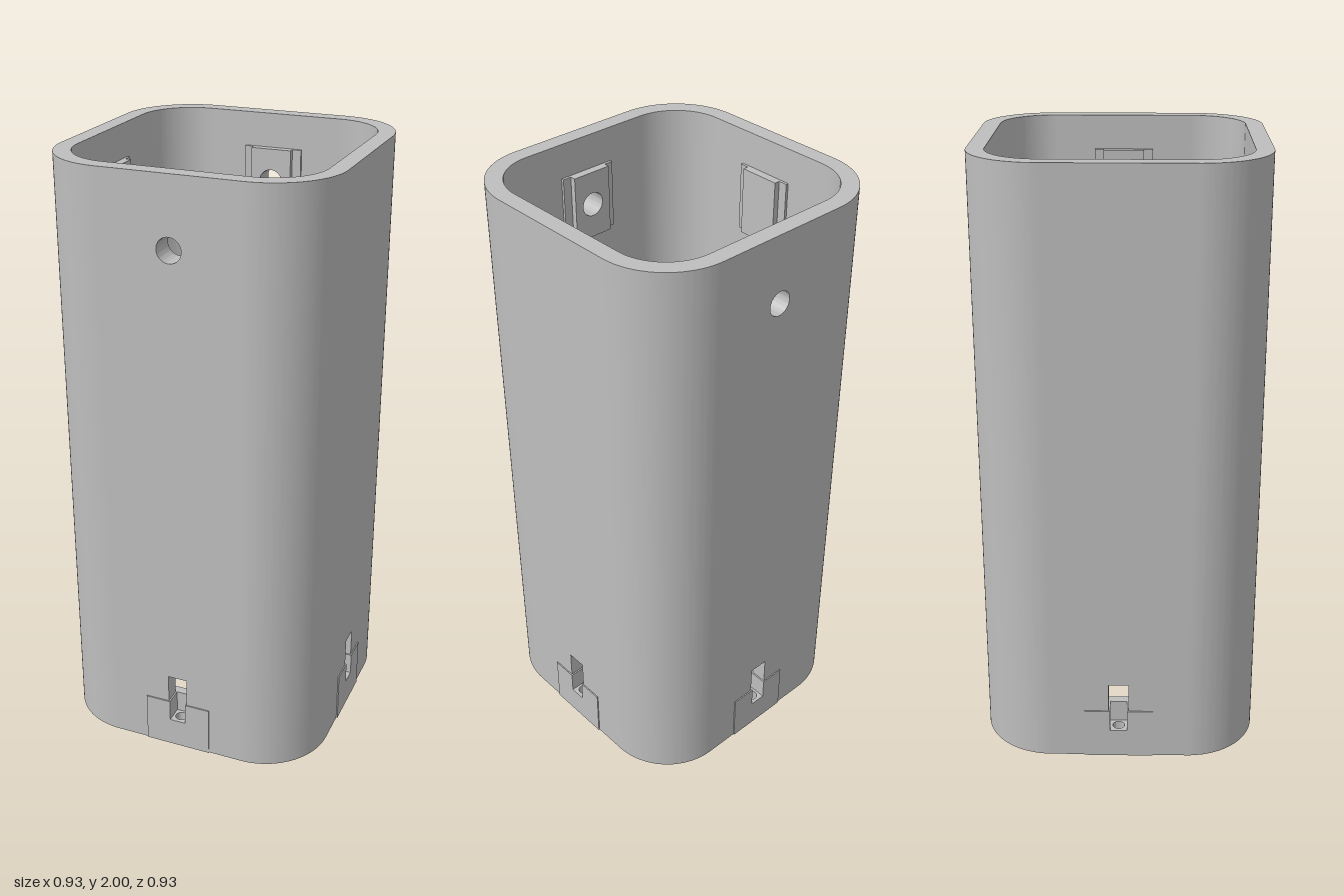
import * as THREE from 'three';
import { toCreasedNormals } from 'three/addons/utils/BufferGeometryUtils.js';

const OUT = 0.46, INN = 0.404, FLAT = 0.23, H = 2;
const FOOT = 0.1, SKIRT = 0.175, SLOT_TOP = 0.275, HOLE_Y = 1.775, HOLE_R = 0.04;

const polygon = (pts) => new THREE.Shape(pts.map(([x, y]) => new THREE.Vector2(x, y)));
const rect = (w, y0, y1) => polygon([[-w, y0], [w, y0], [w, y1], [-w, y1]]);
const circle = (y, r) => new THREE.Path().absarc(0, y, r, 0, Math.PI * 2, true);

// Extrudes a shape between two z depths
function slab(shape, z0, z1) {
  const g = new THREE.ExtrudeGeometry(shape, { depth: z1 - z0, bevelEnabled: false, curveSegments: 20 });
  g.translate(0, 0, z0);
  return toCreasedNormals(g, 0.5);
}

// Rectangle with a stepped slot open at its lower edge
function notched(w, y0, y1, slotTop) {
  const a = 0.028, b = 0.033;
  const half = slotTop > SKIRT
    ? [[a, y0], [a, SKIRT], [b, SKIRT], [b, slotTop]]
    : [[a, y0], [a, y1]];
  const left = half.map(([x, y]) => [-x, y]);
  if (slotTop > SKIRT) {
    return [polygon([[-w, y0], ...left, ...half.reverse(), [w, y0], [w, y1], [-w, y1]])];
  }
  return [polygon([[a, y0], [w, y0], [w, y1], [a, y1]]), polygon([[-w, y0], [-a, y0], [-a, y1], [-w, y1]])];
}

export function createModel() {
  const model = new THREE.Group();
  model.name = 'squareTubeHousing';
  const grey = new THREE.MeshStandardMaterial({ color: 0xbebebe });
  grey.name = 'grey';

  const add = (parent, geometry, name) => {
    const mesh = new THREE.Mesh(geometry, grey);
    mesh.name = name;
    parent.add(mesh);
  };

  // Rounded corner section, seen in plan
  const arc = new THREE.Shape();
  arc.absarc(FLAT, FLAT, OUT - FLAT, 0, Math.PI / 2, false);
  arc.absarc(FLAT, FLAT, INN - FLAT, Math.PI / 2, 0, true);
  const corner = toCreasedNormals(
    new THREE.ExtrudeGeometry(arc, { depth: H, bevelEnabled: false, curveSegments: 24 }).rotateX(-Math.PI / 2), 0.5);

  // Foot of each wall, with a vertical pin hole
  const footShape = rect(FLAT, -OUT, -INN);
  footShape.holes.push(circle(-(OUT + INN) / 2, 0.02));
  const foot = slab(footShape, 0, FOOT).rotateX(-Math.PI / 2);

  const sides = [
    { name: 'front', angle: 0, hole: true, lug: -1 },
    { name: 'left', angle: Math.PI / 2, hole: false, lug: -1 },
    { name: 'back', angle: Math.PI, hole: true, lug: 1 },
    { name: 'right', angle: -Math.PI / 2, hole: false, lug: 1 },
  ];

  for (const { name, angle, hole, lug } of sides) {
    const side = new THREE.Group();
    side.name = name + 'Side';
    side.rotation.y = angle;
    model.add(side);

    const pierce = (shape) => {
      if (hole) shape.holes.push(circle(HOLE_Y, HOLE_R));
      return shape;
    };

    add(side, corner, 'roundedCorner');
    add(side, foot, 'wallFoot');
    for (const s of notched(FLAT, FOOT, H, SLOT_TOP)) add(side, slab(pierce(s), INN, OUT), 'wall');

    // Thin raised skirt around the slot on the outside
    add(side, slab(rect(0.115, 0, FOOT), OUT, OUT + 0.004), 'skirt');
    for (const s of notched(0.115, FOOT, SKIRT, SKIRT)) add(side, slab(s, OUT, OUT + 0.004), 'skirt');

    // Inner plate closing the lower part of the slot
    add(side, slab(rect(0.115, 0, SKIRT), 0.375, INN), 'lowerPlate');

    // Stepped mounting pad near the top
    add(side, slab(pierce(rect(0.1, 1.66, 1.886)), 0.395, INN), 'padBase');
    add(side, slab(pierce(rect(0.07, 1.66, 1.886)), 0.376, 0.395), 'mountingPad');

    // Lug on the inner wall
    const block = new THREE.BoxGeometry(0.085, 0.2, INN - 0.357);
    block.translate(lug * 0.131, 1, (INN + 0.357) / 2);
    add(side, block, 'innerLug');
  }
  return model;
}
